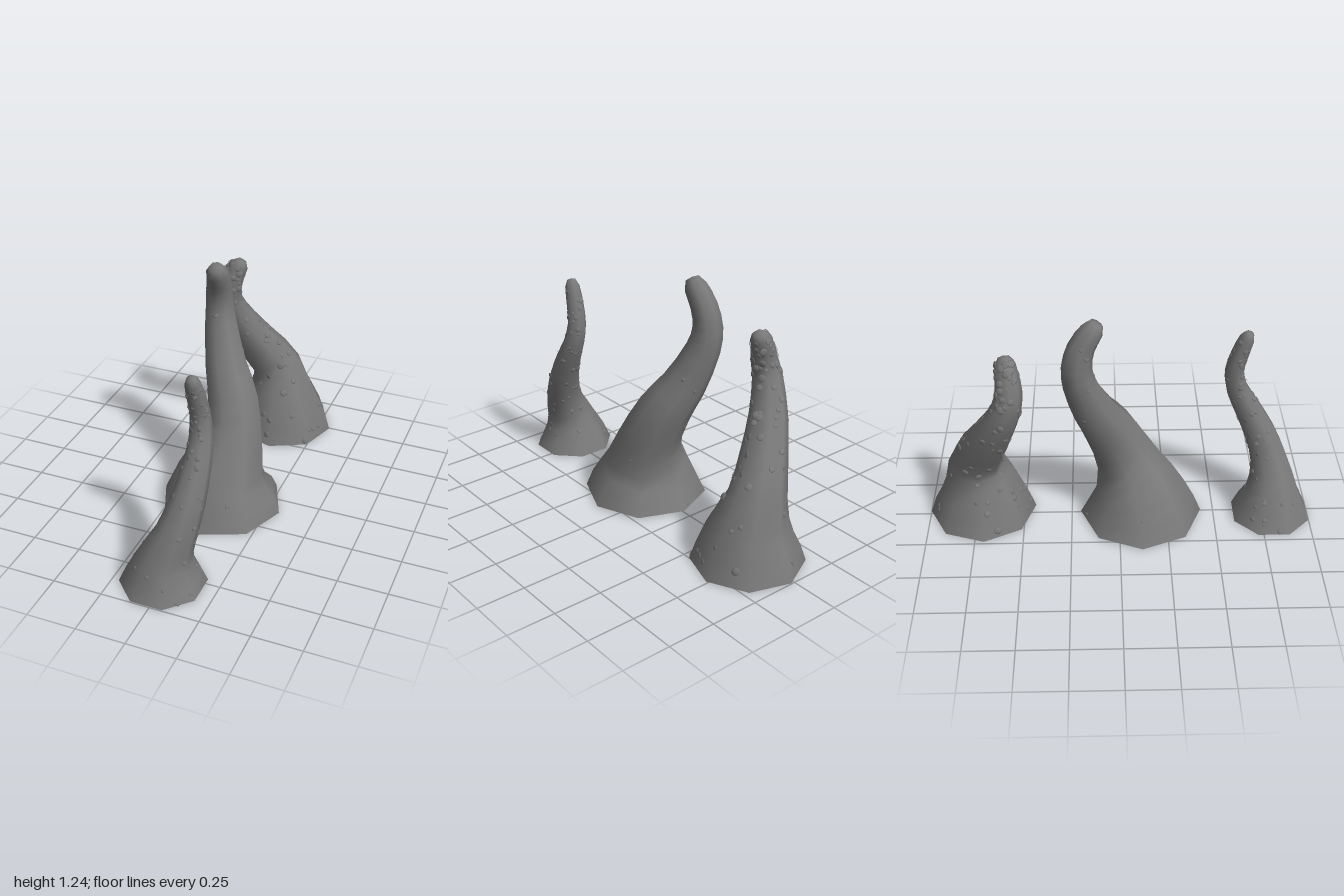
import * as THREE from 'three';
import { mergeGeometries } from 'three/addons/utils/BufferGeometryUtils.js';

const SIDES = 8;
const STEPS = 18;
const UP = new THREE.Vector3(0, 1, 0);
const COLOR = 0x787878;

// Cross-sections from base to tip: [x, y, z, radius]
const TENTACLES = [
  {
    name: 'frontTentacle', turn: Math.PI / 8, warts: 110, wartSize: 0.012, seed: 11,
    rows: [[-0.018, 0.012, 0.802, 0.212], [0, 0.17, 0.805, 0.138], [0.05, 0.31, 0.785, 0.101],
      [0.086, 0.46, 0.73, 0.084], [0.1, 0.6, 0.66, 0.069], [0.1, 0.72, 0.6, 0.057],
      [0.09, 0.83, 0.58, 0.049], [0.083, 0.93, 0.6, 0.045], [0.077, 1.025, 0.63, 0.038],
      [0.073, 1.056, 0.643, 0.022]],
  },
  {
    name: 'middleTentacle', turn: 0, warts: 16, wartSize: 0.01, seed: 5,
    rows: [[0, 0.015, 0.115, 0.318], [0, 0.165, 0.1, 0.245], [0.03, 0.335, 0.046, 0.167],
      [0, 0.54, -0.045, 0.137], [-0.065, 0.685, -0.115, 0.113], [-0.125, 0.89, -0.19, 0.086],
      [-0.137, 1.0, -0.205, 0.075], [-0.13, 1.105, -0.182, 0.067], [-0.12, 1.19, -0.13, 0.057],
      [-0.117, 1.228, -0.106, 0.034]],
  },
  {
    name: 'backTentacle', turn: -0.07, warts: 120, wartSize: 0.017, seed: 23,
    rows: [[0.04, 0.012, -0.722, 0.279], [0.03, 0.19, -0.72, 0.21], [0, 0.36, -0.735, 0.142],
      [-0.09, 0.52, -0.675, 0.115], [-0.175, 0.68, -0.605, 0.093], [-0.22, 0.83, -0.543, 0.074],
      [-0.21, 0.92, -0.527, 0.065], [-0.187, 1.0, -0.535, 0.058], [-0.158, 1.052, -0.543, 0.045],
      [-0.147, 1.072, -0.548, 0.026]],
  },
];

function seeded(seed) {
  let s = seed;
  return () => (s = (s * 16807) % 2147483647) / 2147483647;
}

// Rings of points, each square to a smooth path; the base ring lies flat
function makeRings(rows, turn) {
  const path = new THREE.CatmullRomCurve3(rows.map(([x, y, z]) => new THREE.Vector3(x, y, z)));
  const radii = new THREE.SplineCurve(rows.map((row, i) => new THREE.Vector2(i, row[3])));
  return Array.from({ length: STEPS + 1 }, (_, i) => {
    const t = i / STEPS;
    const centre = path.getPoint(t);
    const radius = radii.getPoint(t).y;
    const q = new THREE.Quaternion().setFromUnitVectors(UP, i === 0 ? UP : path.getTangent(t));
    return Array.from({ length: SIDES }, (_, k) => {
      const a = turn + (k / SIDES) * Math.PI * 2;
      return new THREE.Vector3(Math.cos(a), 0, Math.sin(a))
        .multiplyScalar(radius).applyQuaternion(q).add(centre);
    });
  });
}

// Skin over the rings: open at the base, closed at the tip
function skinGeometry(rings) {
  const pos = [];
  const index = [];
  rings.forEach((ring) => ring.forEach((p) => pos.push(p.x, p.y, p.z)));
  const last = rings.length - 1;
  const tip = new THREE.Vector3();
  rings[last].forEach((p) => tip.addScaledVector(p, 1 / SIDES));
  pos.push(tip.x, tip.y + 0.006, tip.z);
  for (let k = 0; k < SIDES; k++) {
    const n = (k + 1) % SIDES;
    for (let i = 0; i < last; i++) {
      const a = i * SIDES + k, b = i * SIDES + n;
      index.push(a, a + SIDES, b, b, a + SIDES, b + SIDES);
    }
    index.push(last * SIDES + k, rings.length * SIDES, last * SIDES + n);
  }
  const g = new THREE.BufferGeometry();
  g.setAttribute('position', new THREE.Float32BufferAttribute(pos, 3));
  g.setIndex(index);
  g.computeVertexNormals();
  return g;
}

// Low, flat warts lying on the skin
function wartGeometry(rings, count, size, seed) {
  const rand = seeded(seed);
  const parts = [];
  for (let w = 0; w < count; w++) {
    const i = Math.floor(rand() * (rings.length - 3));
    const k = Math.floor(rand() * SIDES), n = (k + 1) % SIDES;
    const u = rand(), v = 0.1 + 0.8 * rand();
    const low = rings[i][k].clone().lerp(rings[i][n], u);
    const high = rings[i + 1][k].clone().lerp(rings[i + 1][n], u);
    const along = high.clone().sub(low);
    const across = rings[i][n].clone().sub(rings[i][k]);
    const normal = along.cross(across).normalize();
    const r = size * (0.6 + 0.6 * rand());
    const g = new THREE.SphereGeometry(r, 10, 3, 0, Math.PI * 2, 0, Math.PI / 2);
    g.scale(1, 0.3, 1);
    g.applyQuaternion(new THREE.Quaternion().setFromUnitVectors(UP, normal));
    const p = low.lerp(high, v);
    g.translate(p.x, Math.max(p.y, 0.015), p.z);
    parts.push(g);
  }
  return mergeGeometries(parts);
}

export function createModel() {
  const model = new THREE.Group();
  model.name = 'tentacles';
  const skinMat = new THREE.MeshStandardMaterial({ color: COLOR, side: THREE.DoubleSide });
  const wartMat = new THREE.MeshStandardMaterial({ color: COLOR });
  for (const { name, rows, turn, warts, wartSize, seed } of TENTACLES) {
    const rings = makeRings(rows, turn);
    const group = new THREE.Group();
    group.name = name;
    const skin = new THREE.Mesh(skinGeometry(rings), skinMat);
    skin.name = 'skin';
    const bumps = new THREE.Mesh(wartGeometry(rings, warts, wartSize, seed), wartMat);
    bumps.name = 'warts';
    group.add(skin, bumps);
    model.add(group);
  }
  return model;
}
